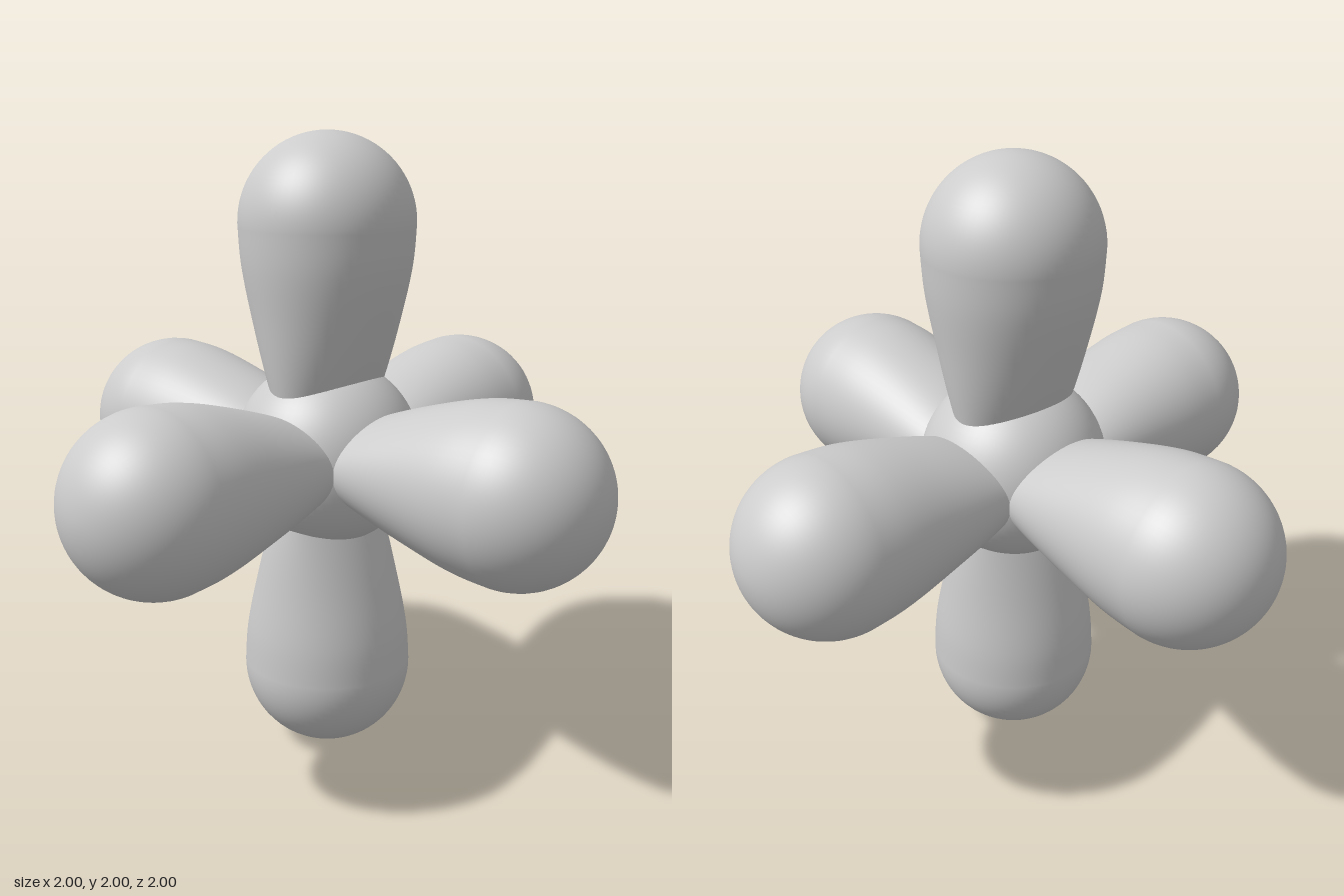
import * as THREE from 'three';
import { mergeVertices } from 'three/addons/utils/BufferGeometryUtils.js';

const TIP = 0.275;       // radius of the rounded tip
const TIP_CENTRE = 0.725; // distance of the tip's centre from the hub centre

// Club-shaped lobe along +y: its base is flattened along x, its tip is a hemisphere.
function lobeGeometry() {
  const narrow = new THREE.SplineCurve([[0, 0.055], [0.25, 0.16], [0.45, 0.226], [0.6, 0.263], [TIP_CENTRE, TIP]]
    .map(([y, r]) => new THREE.Vector2(r, y)));
  const wide = new THREE.SplineCurve([[0, 0.17], [0.25, 0.221], [0.45, 0.25], [0.6, 0.269], [TIP_CENTRE, TIP]]
    .map(([y, r]) => new THREE.Vector2(r, y)));

  const rings = [];
  const steps = 24;
  for (let i = 0; i < steps; i++) {
    const n = narrow.getPoint(i / steps);
    const w = wide.getPoint(i / steps);
    rings.push({ y: n.y, n: n.x, w: w.x });
  }
  for (let i = 0; i <= 20; i++) {
    const a = (i / 20) * Math.PI / 2;
    const r = i === 20 ? 0 : TIP * Math.cos(a);
    rings.push({ y: TIP_CENTRE + TIP * Math.sin(a), n: r, w: r });
  }

  // Lathe the wide profile, then squeeze each ring along x.
  const lathe = new THREE.LatheGeometry(rings.map((k) => new THREE.Vector2(k.w, k.y)), 64);
  const pos = lathe.attributes.position;
  for (let i = 0; i < pos.count; i++) {
    const ring = rings[i % rings.length];
    if (ring.w > 0) pos.setX(i, pos.getX(i) * ring.n / ring.w);
  }
  lathe.deleteAttribute('uv');
  lathe.deleteAttribute('normal');
  const geometry = mergeVertices(lathe, 1e-5);
  geometry.computeVertexNormals();
  return geometry;
}

export function createModel() {
  const model = new THREE.Group();
  model.name = 'sixLobedBody';
  const material = new THREE.MeshStandardMaterial({ color: 0xcccccc });

  // Central ball
  const hub = new THREE.Mesh(new THREE.SphereGeometry(0.3, 64, 40), material);
  hub.name = 'hub';
  hub.position.y = 1;
  model.add(hub);

  // Six lobes: name, direction, direction of the flattening
  const X = new THREE.Vector3(1, 0, 0);
  const Y = new THREE.Vector3(0, 1, 0);
  const Z = new THREE.Vector3(0, 0, 1);
  const lobes = [
    ['topLobe', Y, 1, X], ['bottomLobe', Y, -1, X],
    ['leftLobe', X, 1, Y], ['rightLobe', X, -1, Y],
    ['frontLobe', Z, 1, Y], ['backLobe', Z, -1, Y],
  ];
  const geometry = lobeGeometry();
  for (const [name, axis, sign, flat] of lobes) {
    const lobe = new THREE.Mesh(geometry, material);
    lobe.name = name;
    const along = axis.clone().multiplyScalar(sign);
    const across = new THREE.Vector3().crossVectors(flat, along);
    lobe.quaternion.setFromRotationMatrix(new THREE.Matrix4().makeBasis(flat, along, across));
    lobe.position.y = 1;
    model.add(lobe);
  }
  return model;
}
